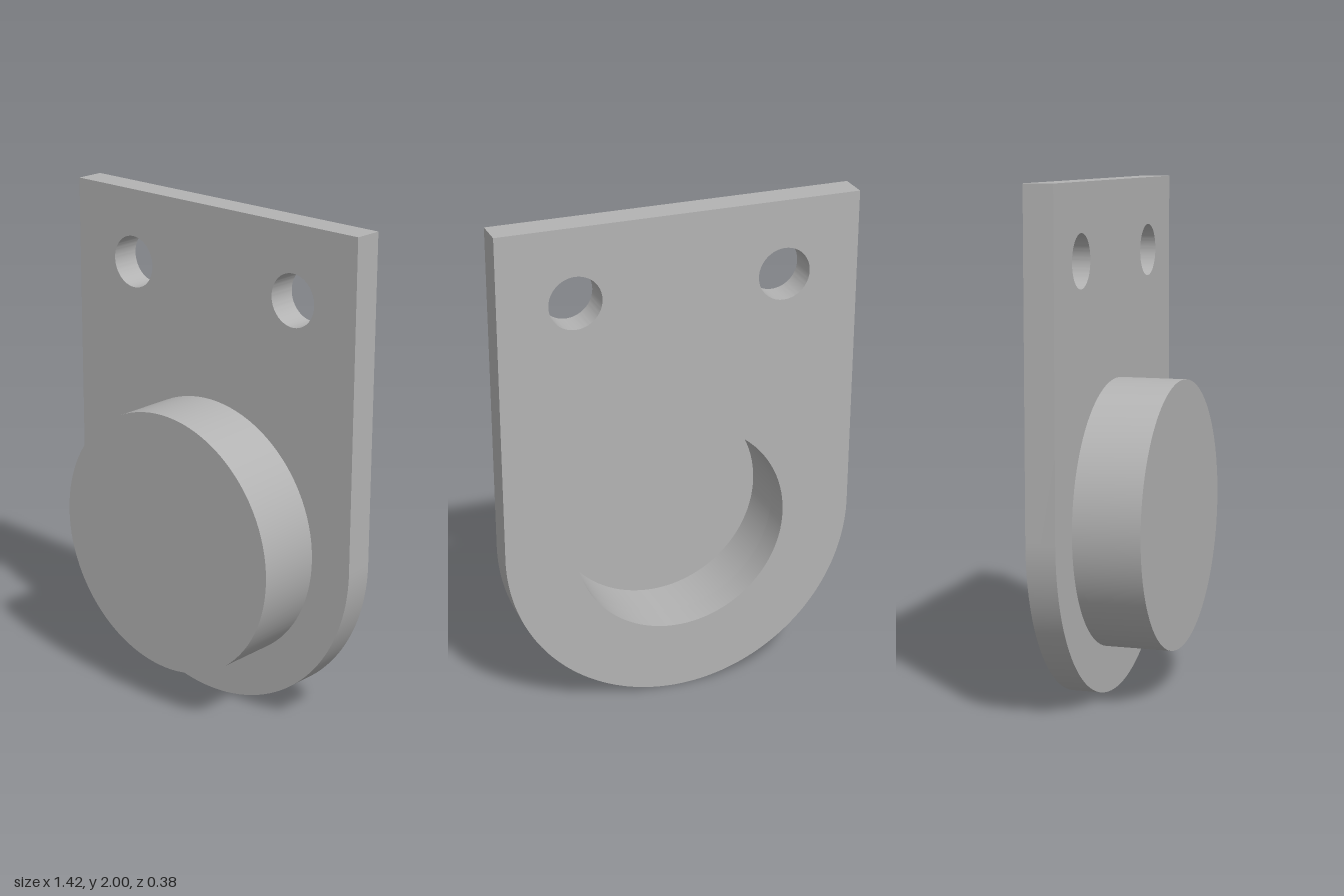
import * as THREE from 'three';
import { toCreasedNormals } from 'three/addons/utils/BufferGeometryUtils.js';

const HALF_WIDTH = 0.708, HEIGHT = 2;
const BACK = -0.19, PLATE_FRONT = -0.075, FRONT = 0.19, POCKET_FLOOR = 0.108;
const BOSS_RADIUS = 0.527, POCKET_RADIUS = 0.43;

function circleHole(x, y, r) {
  return new THREE.Path().absarc(x, y, r, 0, Math.PI * 2, true);
}

export function createModel() {
  const group = new THREE.Group();
  const grey = new THREE.MeshStandardMaterial({ name: 'grey', color: 0xb3b3b3 });

  function add(name, geometry) {
    const mesh = new THREE.Mesh(toCreasedNormals(geometry, 0.6), grey);
    mesh.name = name;
    group.add(mesh);
    return mesh;
  }

  // Plate with a square top, round bottom, two screw holes and the pocket opening
  const outline = new THREE.Shape();
  outline.moveTo(HALF_WIDTH, HEIGHT);
  outline.lineTo(-HALF_WIDTH, HEIGHT);
  outline.lineTo(-HALF_WIDTH, HALF_WIDTH);
  outline.absarc(0, HALF_WIDTH, HALF_WIDTH, Math.PI, Math.PI * 2, false);
  outline.closePath();
  for (const side of [-1, 1]) outline.holes.push(circleHole(side * 0.41, 1.71, 0.103));
  outline.holes.push(circleHole(0, HALF_WIDTH, POCKET_RADIUS));
  const plate = new THREE.ExtrudeGeometry(outline, {
    depth: PLATE_FRONT - BACK, bevelEnabled: false, curveSegments: 48,
  });
  plate.translate(0, 0, BACK);
  add('mountingPlate', plate);

  // Round boss, hollow from behind: pocket floor, pocket wall, outer wall, front face
  const profile = [
    [0, POCKET_FLOOR], [POCKET_RADIUS, POCKET_FLOOR], [POCKET_RADIUS, PLATE_FRONT],
    [BOSS_RADIUS, PLATE_FRONT], [BOSS_RADIUS, FRONT], [0, FRONT],
  ].map(([r, z]) => new THREE.Vector2(r, z));
  const boss = new THREE.LatheGeometry(profile, 96);
  boss.rotateX(Math.PI / 2);
  boss.translate(0, HALF_WIDTH, 0);
  add('hollowBoss', boss);

  return group;
}
